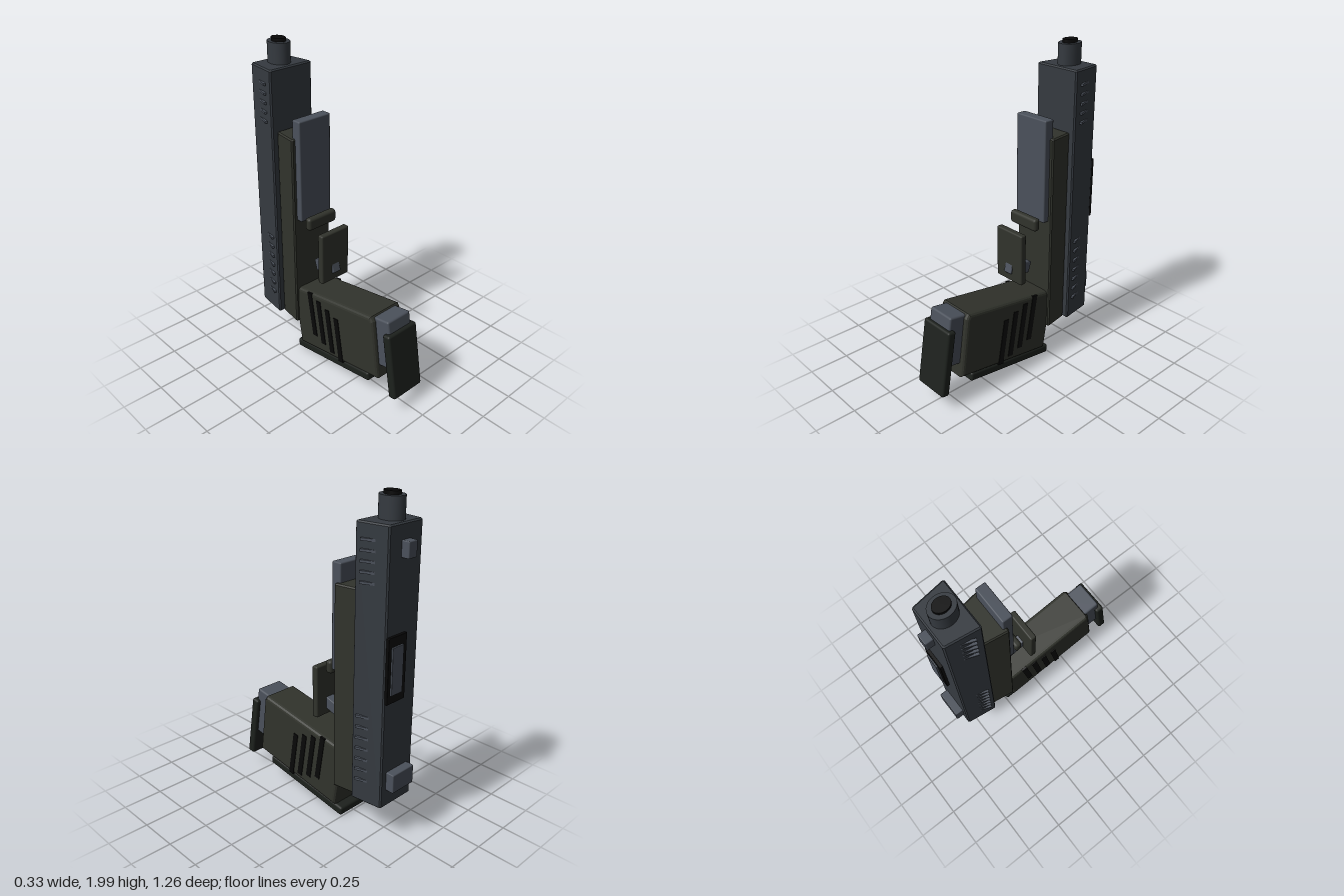
import * as THREE from 'three';
import { RoundedBoxGeometry } from 'three/addons/geometries/RoundedBoxGeometry.js';

const mat = (color) => new THREE.MeshStandardMaterial({ color });
const slideMat = mat(0x353a40);
const frameMat = mat(0x31332c);
const steelMat = mat(0x4b515b);
const darkMat = mat(0x1d211d);
const blackMat = mat(0x080808);
const TILT = -0.165; // lean shared by the grip parts

export function createModel() {
  const model = new THREE.Group();
  model.name = 'sidearm';

  const add = (name, geometry, material, x = 0, y = 0, z = 0) => {
    const mesh = new THREE.Mesh(geometry, material);
    mesh.name = name;
    mesh.position.set(x, y, z);
    model.add(mesh);
    return mesh;
  };

  // Box with softened edges, optionally leaning about x
  const block = (name, [w, h, d], [x, y, z], material, radius = 0.008, lean = 0) => {
    const mesh = add(name, new RoundedBoxGeometry(w, h, d, 2, radius), material, x, y, z);
    mesh.rotation.x = lean;
    return mesh;
  };

  // Bevelled extrusion of a closed outline, centred on its extrusion axis
  const bevelled = (points, depth, bevel, segments) => {
    const shape = new THREE.Shape(points.map(([a, b]) => new THREE.Vector2(a, b)));
    const geometry = new THREE.ExtrudeGeometry(shape, {
      depth: depth - 2 * bevel, bevelEnabled: true, bevelThickness: bevel,
      bevelSize: bevel, bevelOffset: -bevel, bevelSegments: segments,
    });
    return geometry.translate(0, 0, -depth / 2 + bevel);
  };

  // Upright prism whose width changes from its back (z0) to its front (z1)
  const taperedPrism = (name, y0, y1, z0, half0, z1, half1, material) => {
    const c = 0.008;
    const outline = [
      [-half1, -z1 + c], [-half1 + c, -z1], [half1 - c, -z1], [half1, -z1 + c],
      [half0, -z0 - c], [half0 - c, -z0], [-half0 + c, -z0], [-half0, -z0 - c],
    ];
    const geometry = bevelled(outline, y1 - y0, 0.008, 1).rotateX(-Math.PI / 2);
    add(name, geometry, material, 0, (y0 + y1) / 2, 0);
  };

  // Slide, frame and rail
  taperedPrism('slide', 0.235, 1.857, -0.575, 0.128, -0.37, 0.153, slideMat);
  taperedPrism('frame', 0.235, 1.49, -0.37, 0.12, -0.21, 0.141, frameMat);
  block('rail', [0.234, 0.63, 0.065], [0, 1.285, -0.203], steelMat);

  // Oval barrel with a dark bore
  const oval = (name, rx, rz, y0, y1, material) => {
    const geometry = new THREE.CylinderGeometry(1, 1, y1 - y0, 32).scale(rx, 1, rz);
    add(name, geometry, material, 0, (y0 + y1) / 2, -0.475);
  };
  oval('barrel', 0.061, 0.075, 1.8, 1.98, slideMat);
  oval('bore', 0.038, 0.049, 1.85, 2.0, blackMat);

  // Sights
  block('frontSight', [0.066, 0.09, 0.07], [0, 1.725, -0.588], steelMat, 0.006);
  block('rearSight', [0.174, 0.116, 0.08], [0, 0.403, -0.588], steelMat, 0.006);

  // Ejection port on the top of the slide, set to one side
  block('ejectionPort', [0.142, 0.38, 0.02], [0.052, 1.085, -0.583], blackMat, 0.003);
  block('portInset', [0.088, 0.275, 0.02], [0.057, 1.083, -0.593], steelMat, 0.003);

  // Serrations, angled away from both slide walls
  const serrations = (name, count, yTop, step, z) => {
    for (const side of [-1, 1]) {
      for (let i = 0; i < count; i++) {
        const ridge = add(name, new THREE.BoxGeometry(0.014, 0.014, 0.088), steelMat,
          side * 0.145, yTop - i * step, z);
        ridge.rotation.y = side * 0.36;
      }
    }
  };
  serrations('frontSerration', 5, 1.77, 0.056, -0.455);
  serrations('rearSerration', 7, 0.782, 0.067, -0.445);

  // Trigger and guard pieces
  block('guardFront', [0.216, 0.08, 0.046], [0, 0.966, -0.131], frameMat, 0.018);
  block('guardPlate', [0.214, 0.33, 0.042], [0, 0.77, -0.02], frameMat, 0.01);
  block('trigger', [0.06, 0.073, 0.165], [0, 0.672, -0.072], steelMat, 0.006, -0.29);

  // Grip, cut as a slanted side profile
  const gripOutline = [
    [0.415, 0.59], [-0.265, 0.48], [-0.198, 0.075], [0.488, 0.185],
    [0.48, 0.235], [0.435, 0.56],
  ];
  const grip = bevelled(gripOutline, 0.244, 0.022, 3).rotateY(-Math.PI / 2);
  add('grip', grip, frameMat);
  block('backstrap', [0.212, 0.056, 0.652], [0, 0.085, 0.077], darkMat, 0.014, TILT + 0.015);

  // Grip grooves on both sides
  for (const side of [-1, 1]) {
    for (let i = 0; i < 4; i++) {
      const groove = add('gripGroove', new THREE.BoxGeometry(0.014, 0.302, 0.037), blackMat,
        side * 0.119, 0.283 + i * 0.0235, 0.158 - i * 0.079);
      groove.rotation.x = TILT;
    }
  }

  // Magazine and its base plate
  block('magazine', [0.182, 0.32, 0.2], [0, 0.425, 0.457], steelMat, 0.012, TILT);
  block('magazineBase', [0.232, 0.42, 0.054], [0, 0.315, 0.571], darkMat, 0.014, TILT);

  return model;
}
